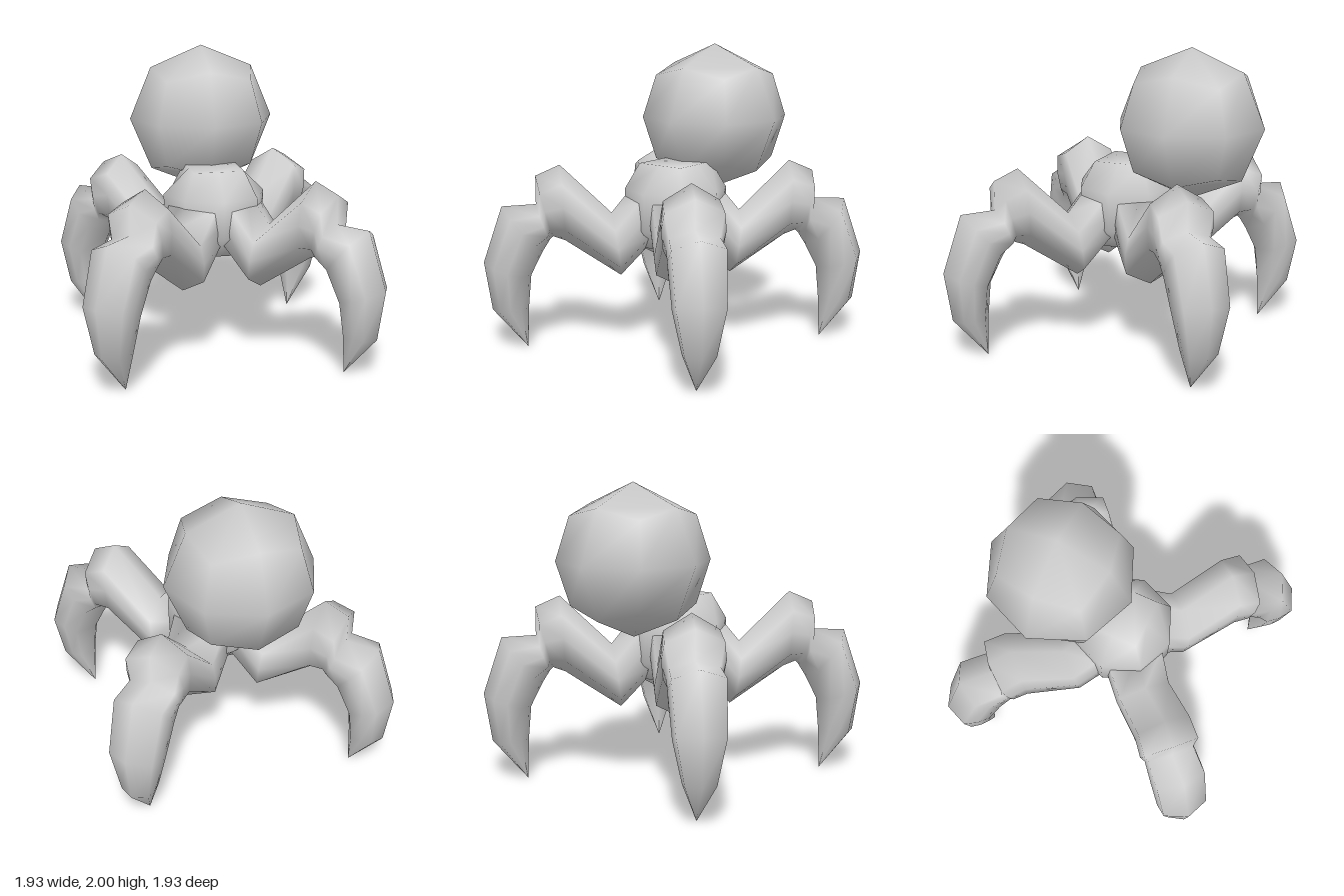
import * as THREE from 'three';
import { mergeVertices } from 'three/addons/utils/BufferGeometryUtils.js';

const SIDES = 8;

// Closed, smooth-shaded skin through a list of eight-point rings
function loft(rings) {
  const pos = rings.flat(2);
  const index = [];
  for (let r = 0; r < rings.length - 1; r++) {
    for (let i = 0; i < SIDES; i++) {
      const a = r * SIDES + i, b = r * SIDES + (i + 1) % SIDES;
      index.push(a, a + SIDES, b, b, a + SIDES, b + SIDES);
    }
  }
  const last = (rings.length - 1) * SIDES;
  for (let i = 1; i < SIDES - 1; i++) {
    index.push(0, i, i + 1);
    index.push(last, last + i + 1, last + i);
  }
  const geo = new THREE.BufferGeometry();
  geo.setAttribute('position', new THREE.Float32BufferAttribute(pos, 3));
  geo.setIndex(index);
  geo.computeVertexNormals();
  return geo;
}

// Body ring: separate radii on the axes and on the diagonals
function bodyRing([y, axial, diagonal]) {
  return Array.from({ length: SIDES }, (_, i) => {
    const a = i * Math.PI / 4, r = i % 2 ? diagonal : axial;
    return [r * Math.cos(a), y, r * Math.sin(a)];
  });
}

// Leg ring: upper point (tx, ty), lower point (bx, by) and half width w
function legRing([tx, ty, bx, by, w]) {
  const heights = [1, 0.58, 0, -0.58, -1, -0.58, 0, 0.58];
  const widths = [0, 0.92, 1, 0.92, 0, -0.92, -1, -0.92];
  return heights.map((h, i) => {
    const t = (h + 1) / 2;
    return [bx + (tx - bx) * t, by + (ty - by) * t, -w * widths[i]];
  });
}

export function createModel() {
  const model = new THREE.Group();
  const material = new THREE.MeshStandardMaterial({ color: 0xcccccc });
  const add = (geometry, name) => {
    const mesh = new THREE.Mesh(geometry, material);
    mesh.name = name;
    model.add(mesh);
    return mesh;
  };

  // Body: flat square top and bottom, rounded waist
  add(loft([
    [0.67, 0.17, 0.24],
    [0.82, 0.33, 0.34],
    [1.07, 0.34, 0.34],
    [1.24, 0.17, 0.24],
  ].map(bodyRing)), 'body');

  // Abdomen: subdivided cube pushed out to a sphere
  let ball = new THREE.BoxGeometry(1, 1, 1, 2, 2, 2);
  ball.deleteAttribute('uv');
  ball.deleteAttribute('normal');
  ball = mergeVertices(ball);
  const p = ball.attributes.position, v = new THREE.Vector3();
  for (let i = 0; i < p.count; i++) {
    v.fromBufferAttribute(p, i).setLength(0.495);
    p.setXYZ(i, v.x, v.y, v.z);
  }
  ball.computeVertexNormals();
  add(ball, 'abdomen').position.set(0, 1.507, -0.437);

  // Legs: dip at the hip, rise to the knee, then curve down to a point
  const leg = loft([
    [0.26, 1.12, 0.18, 0.68, 0.2],
    [0.43, 0.91, 0.37, 0.48, 0.19],
    [0.77, 1.24, 0.74, 0.73, 0.19],
    [0.93, 1.17, 0.82, 0.76, 0.2],
    [0.93, 0.98, 0.84, 0.74, 0.17],
    [1.155, 0.97, 0.89, 0.66, 0.18],
    [1.28, 0.595, 0.97, 0.5, 0.165],
    [1.23, 0.27, 0.99, 0.28, 0.105],
    [1.005, 0.01, 1, 0.005, 0.003],
  ].map(legRing));
  ['backLeftLeg', 'backRightLeg', 'frontRightLeg', 'frontLeftLeg'].forEach((name, i) => {
    add(leg, name).rotation.y = Math.PI / 4 + i * Math.PI / 2;
  });

  return model;
}
